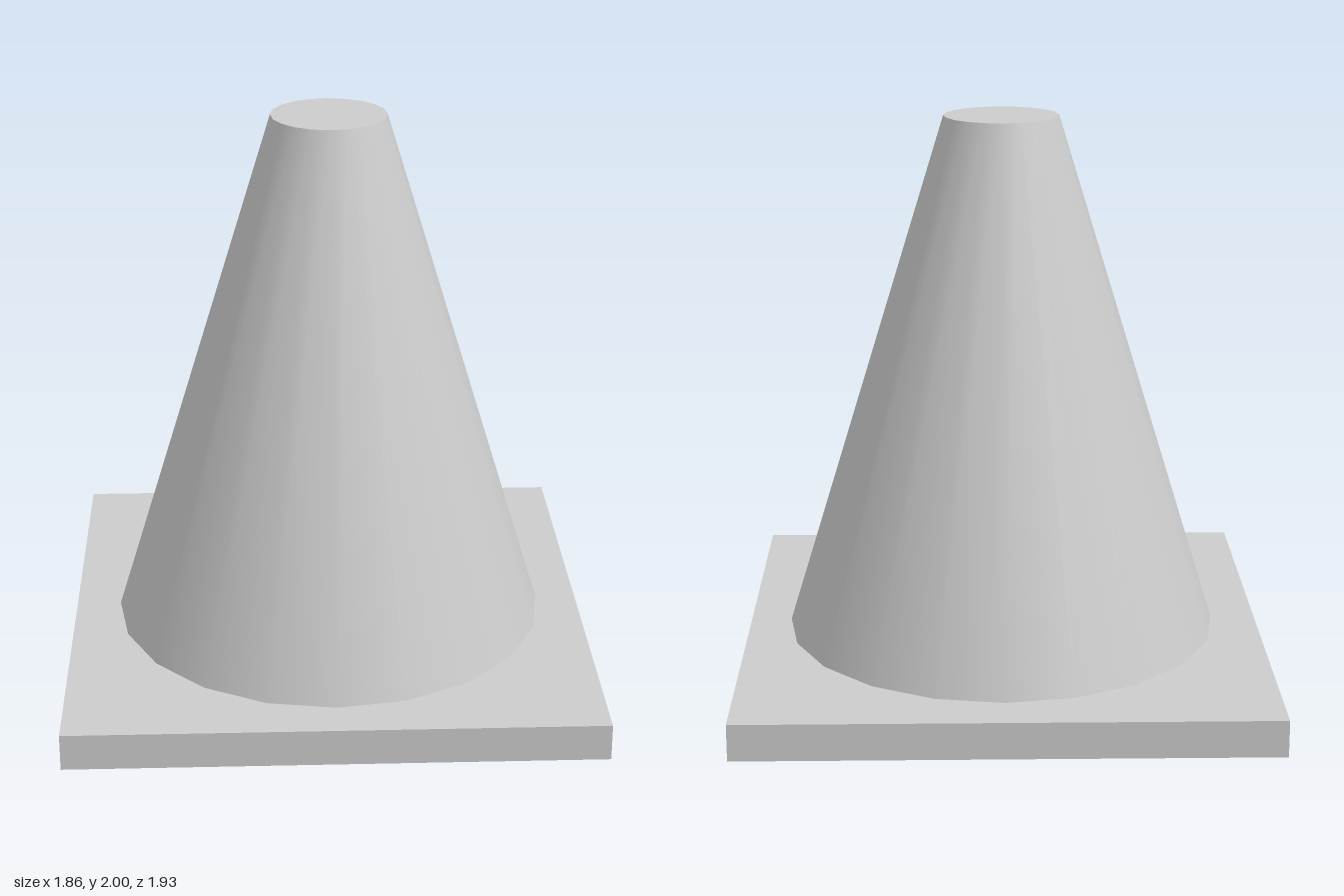
import * as THREE from 'three';

const BASE = { halfX: 0.93, halfZ: 0.967, height: 0.13 };
const CONE = { bottomY: 0.12, topY: 2, bottomR: 0.78, topR: 0.203, sides: 20, stretchZ: 1.038, offset: 0.007 };

export function createModel() {
  const model = new THREE.Group();
  const material = new THREE.MeshStandardMaterial({ color: 0xcccccc, side: THREE.DoubleSide });

  const add = (parent, name, geometry) => {
    const mesh = new THREE.Mesh(geometry, material);
    mesh.name = name;
    parent.add(mesh);
    return mesh;
  };

  // Hollow base: a thin plate with four walls, open underneath
  const base = new THREE.Group();
  base.name = 'base';
  model.add(base);
  const plate = add(base, 'basePlate', new THREE.PlaneGeometry(2 * BASE.halfX, 2 * BASE.halfZ));
  plate.rotation.x = -Math.PI / 2;
  plate.position.y = BASE.height;
  for (let i = 0; i < 4; i++) {
    const alongX = i % 2 === 0;
    const width = 2 * (alongX ? BASE.halfX : BASE.halfZ);
    const distance = alongX ? BASE.halfZ : BASE.halfX;
    const angle = (i * Math.PI) / 2;
    const wall = add(base, 'baseWall', new THREE.PlaneGeometry(width, BASE.height));
    wall.rotation.y = angle;
    wall.position.set(Math.sin(angle) * distance, BASE.height / 2, Math.cos(angle) * distance);
  }

  // Tapered body, slightly oval, open at the bottom and closed by a flat cap
  const cone = new THREE.Group();
  cone.name = 'cone';
  cone.position.set(CONE.offset, 0, CONE.offset);
  cone.scale.z = CONE.stretchZ;
  model.add(cone);
  const height = CONE.topY - CONE.bottomY;
  const body = add(cone, 'coneBody',
    new THREE.CylinderGeometry(CONE.topR, CONE.bottomR, height, CONE.sides, 1, true));
  body.position.y = CONE.bottomY + height / 2;
  const cap = add(cone, 'coneCap', new THREE.CircleGeometry(CONE.topR, CONE.sides));
  cap.rotation.x = -Math.PI / 2;
  cap.position.y = CONE.topY;

  return model;
}
